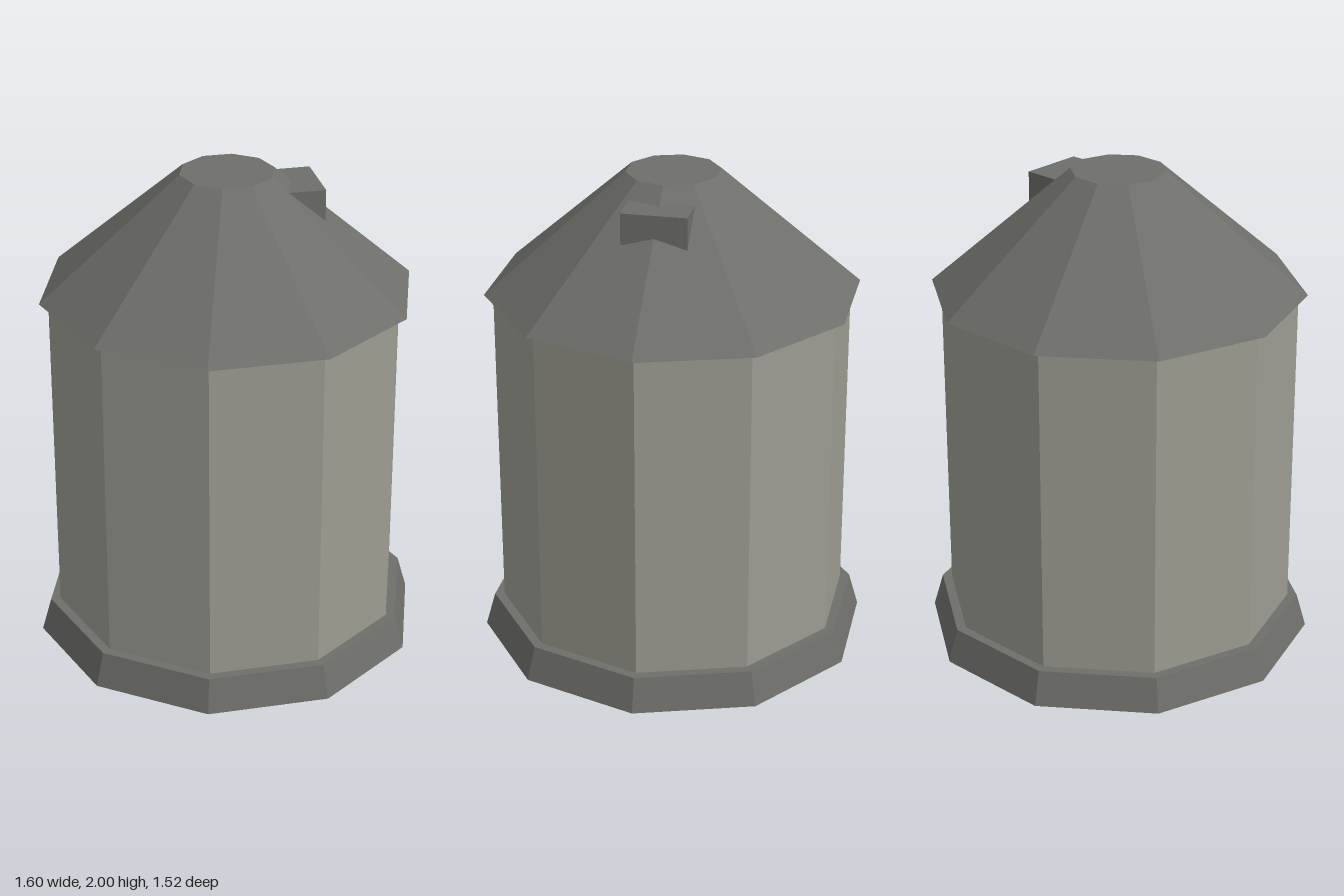
import * as THREE from 'three';

const SIDES = 10;

export function createModel() {
  const group = new THREE.Group();
  const wallStone = new THREE.MeshStandardMaterial({ color: 0x9c9c92 });
  const darkStone = new THREE.MeshStandardMaterial({ color: 0x6e6e6a });
  wallStone.name = 'wallStone';
  darkStone.name = 'darkStone';

  const add = (name, geometry, material, x, y) => {
    // unshared vertices give crisp facets
    const flat = geometry.toNonIndexed();
    flat.computeVertexNormals();
    const mesh = new THREE.Mesh(flat, material);
    mesh.name = name;
    mesh.position.set(x, y, 0);
    group.add(mesh);
  };

  // Ten-sided tier with corners pointing along +x and -x
  const tier = (name, rTop, rBottom, y0, y1, material) => add(
    name,
    new THREE.CylinderGeometry(rTop, rBottom, y1 - y0, SIDES, 1, false, Math.PI / 2),
    material, 0, (y0 + y1) / 2
  );

  tier('base', 0.76, 0.8, 0, 0.14, darkStone);
  tier('wall', 0.72, 0.72, 0.14, 1.505, wallStone);
  tier('roof', 0.19, 0.757, 1.505, 2, darkStone);

  // Small block sunk into the roof slope on the left side
  add('roofVent', new THREE.BoxGeometry(0.185, 0.16, 0.26), darkStone, 0.2725, 1.86);

  return group;
}
